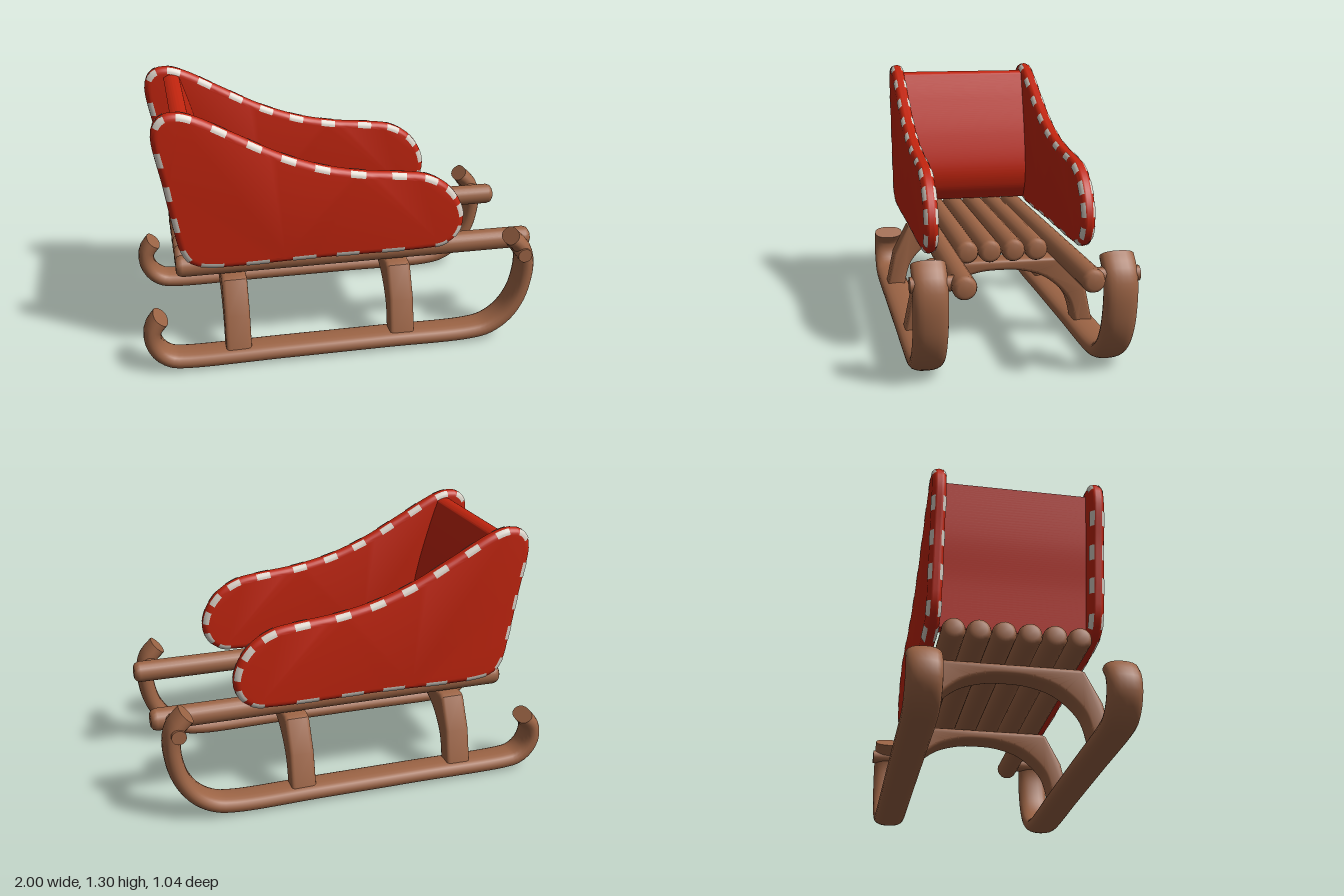
import * as THREE from 'three';
import { toCreasedNormals } from 'three/addons/utils/BufferGeometryUtils.js';

const mat = (name, color, side = THREE.FrontSide) => {
  const m = new THREE.MeshStandardMaterial({ color, side });
  m.name = name;
  return m;
};
const v2 = (list) => list.map(([x, y]) => new THREE.Vector2(x, y));
const v3 = (list) => list.map(([x, y]) => new THREE.Vector3(x, y, 0));

// Sweep a wide rounded section along a path lying in the xy plane
function sweep(curve, halfHeight, halfWidth, steps, sides) {
  const pos = [], index = [];
  const power = (c) => Math.sign(c) * Math.abs(c) ** 0.85;
  const ring = (u) => {
    const p = curve.getPointAt(u), t = curve.getTangentAt(u);
    for (let j = 0; j < sides; j++) {
      const a = (j / sides) * Math.PI * 2;
      const h = power(Math.cos(a)) * halfHeight, w = power(Math.sin(a)) * halfWidth;
      pos.push(p.x - t.y * h, p.y + t.x * h, w);
    }
  };
  for (let i = 0; i <= steps; i++) ring(i / steps);
  for (let i = 0; i < steps; i++) {
    for (let j = 0; j < sides; j++) {
      const k = (j + 1) % sides;
      const a = i * sides + j, b = i * sides + k;
      index.push(a, b, a + sides, b, b + sides, a + sides);
    }
  }
  // flat end caps with their own vertices
  for (const u of [0, 1]) {
    const start = pos.length / 3;
    ring(u);
    for (let j = 1; j < sides - 1; j++) {
      if (u) index.push(start, start + j, start + j + 1);
      else index.push(start, start + j + 1, start + j);
    }
  }
  const g = new THREE.BufferGeometry();
  g.setAttribute('position', new THREE.Float32BufferAttribute(pos, 3));
  g.setIndex(index);
  g.computeVertexNormals();
  return g;
}

// Round bar along x with softened ends
function bar(x0, x1, r) {
  const l = x1 - x0;
  const end = [[0, 0], [r * 0.6, 0], [r * 0.87, 0.01], [r, 0.03]];
  const profile = [...end, ...end.map(([a, b]) => [a, l - b]).reverse()];
  return new THREE.LatheGeometry(v2(profile), 20).rotateZ(-Math.PI / 2).translate(x0, 0, 0);
}

export function createModel() {
  const model = new THREE.Group();
  model.name = 'sled';
  const wood = mat('brown wood', 0x9c6445);
  const red = mat('red panel', 0xc0240e);
  const thread = mat('pale thread', 0xd8d0c6, THREE.DoubleSide);
  const add = (name, geometry, material, x = 0, y = 0, z = 0, parent = model) => {
    const m = new THREE.Mesh(geometry, material);
    m.name = name;
    m.position.set(x, y, z);
    parent.add(m);
    return m;
  };

  // Runners curled up at both ends
  const runnerPath = new THREE.CatmullRomCurve3(v3([
    [-0.912, 0.277], [-0.95, 0.225], [-0.955, 0.16], [-0.925, 0.095], [-0.87, 0.054], [-0.8, 0.043],
    [-0.3, 0.043], [0.2, 0.043], [0.64, 0.043], [0.74, 0.062], [0.83, 0.123], [0.893, 0.22],
    [0.922, 0.33], [0.926, 0.42], [0.908, 0.487], [0.85, 0.55],
  ]));
  const runner = sweep(runnerPath, 0.043, 0.08, 90, 20);
  const pin = new THREE.CylinderGeometry(0.036, 0.036, 0.24, 16).rotateX(Math.PI / 2);

  // Side panel outline, starting at the top rear corner
  const outline = new THREE.CatmullRomCurve3(v3([
    [-0.9, 1.18], [-0.885, 1.245], [-0.845, 1.283], [-0.78, 1.292], [-0.7, 1.27], [-0.5, 1.165],
    [-0.3, 1.06], [-0.1, 0.985], [0.1, 0.942], [0.3, 0.92], [0.42, 0.898], [0.53, 0.83],
    [0.595, 0.73], [0.61, 0.64], [0.58, 0.56], [0.51, 0.51], [0.42, 0.5], [-0.1, 0.5],
    [-0.67, 0.5], [-0.75, 0.525], [-0.795, 0.59], [-0.82, 0.7], [-0.86, 0.94],
  ]), true);
  const R = 0.033;
  const panel = toCreasedNormals(new THREE.ExtrudeGeometry(
    new THREE.Shape(v2(outline.getSpacedPoints(110).slice(0, -1).map((p) => [p.x, p.y]))),
    { depth: 0.002, bevelThickness: R, bevelSize: R, bevelOffset: -R, bevelSegments: 6 },
  ).translate(0, 0, -0.001), 0.7);

  // A stitch is a thin strip wrapped over the rounded rim
  const samples = outline.getSpacedPoints(600);
  function stitch(x, y, length, face) {
    let best = 0;
    samples.forEach((p, i) => {
      if (Math.hypot(p.x - x, p.y - y) < Math.hypot(samples[best].x - x, samples[best].y - y)) best = i;
    });
    const g = new THREE.PlaneGeometry(1, 1, 5, 4);
    const pos = g.attributes.position;
    for (let i = 0; i < pos.count; i++) {
      const u = (best / 600 + (pos.getX(i) * length) / outline.getLength() + 1) % 1;
      const a = 0.52 + (pos.getY(i) + 0.5) * 1.0;
      const p = outline.getPointAt(u), t = outline.getTangentAt(u);
      const inset = R - (R + 0.003) * Math.cos(a);
      pos.setXYZ(i, p.x + t.y * inset, p.y - t.x * inset, face * (R + 0.003) * Math.sin(a));
    }
    g.computeVertexNormals();
    return g;
  }
  const stitches = [
    [-0.87, 1.26], [-0.74, 1.285], [-0.58, 1.21], [-0.42, 1.12], [-0.26, 1.045], [-0.1, 0.985],
    [0.07, 0.945], [0.27, 0.925], [0.44, 0.89], [0.55, 0.815], [0.605, 0.71], [0.595, 0.58],
    [0.5, 0.51], [0.25, 0.5], [0.02, 0.5], [-0.2, 0.5], [-0.43, 0.5], [-0.65, 0.5],
    [-0.785, 0.57], [-0.825, 0.74], [-0.855, 0.9], [-0.88, 1.07],
  ];

  for (const s of [1, -1]) {
    const side = s > 0 ? 'front' : 'rear';
    add(side + 'Runner', runner, wood, 0, 0, s * 0.43);
    add(side + 'RunnerPin', pin, wood, 0.9, 0.475, s * 0.4);
    const group = new THREE.Group();
    group.name = side + 'SidePanel';
    group.position.z = s * 0.376;
    model.add(group);
    add('panel', panel, red, 0, 0, 0, group);
    for (const face of [1, -1]) {
      for (const [x, y] of stitches) {
        add('stitch', stitch(x, y, y < 0.505 ? 0.115 : 0.075, face), thread, 0, 0, 0, group);
      }
    }
  }

  // Seat slats, the outer two running on to the runner tips
  for (const s of [1, -1]) {
    add('longRail', bar(-0.82, 1, 0.055), wood, 0, 0.47, s * 0.288);
    for (const z of [0.059, 0.174]) add('seatSlat', bar(-0.82, 0.405, 0.057), wood, 0, 0.47, s * z);
  }

  // Arched supports standing on the runners
  const arch = new THREE.Shape();
  arch.moveTo(0.48, 0.06);
  arch.lineTo(0.44, 0.25);
  arch.lineTo(0.36, 0.405);
  arch.lineTo(0.335, 0.415);
  arch.lineTo(-0.335, 0.415);
  arch.lineTo(-0.36, 0.405);
  arch.lineTo(-0.44, 0.25);
  arch.lineTo(-0.48, 0.06);
  arch.lineTo(-0.385, 0.06);
  arch.splineThru(v2([[-0.345, 0.2], [-0.24, 0.305], [-0.12, 0.35], [0, 0.36],
    [0.12, 0.35], [0.24, 0.305], [0.345, 0.2], [0.385, 0.06]]));
  const archGeometry = toCreasedNormals(new THREE.ExtrudeGeometry(arch, {
    depth: 0.086, bevelThickness: 0.02, bevelSize: 0.018, bevelOffset: -0.018, bevelSegments: 3, curveSegments: 24,
  }).translate(0, 0, -0.043).rotateY(Math.PI / 2), 0.6);
  for (const x of [-0.54, 0.29]) add('archedSupport', archGeometry, wood, x);

  // Backrest, leaning back with a padded front
  const back = new THREE.Shape();
  back.moveTo(-0.8, 1.24);
  back.splineThru(v2([[-0.77, 0.98], [-0.73, 0.75], [-0.7, 0.525]]));
  back.lineTo(-0.645, 0.525);
  back.splineThru(v2([[-0.6, 0.61], [-0.588, 0.72], [-0.62, 0.9], [-0.675, 1.1], [-0.72, 1.24]]));
  back.quadraticCurveTo(-0.76, 1.27, -0.8, 1.24);
  const backGeometry = toCreasedNormals(new THREE.ExtrudeGeometry(back, {
    depth: 0.72, bevelEnabled: false, curveSegments: 16,
  }).translate(0, 0, -0.36), 0.7);
  add('backrest', backGeometry, red);

  return model;
}
